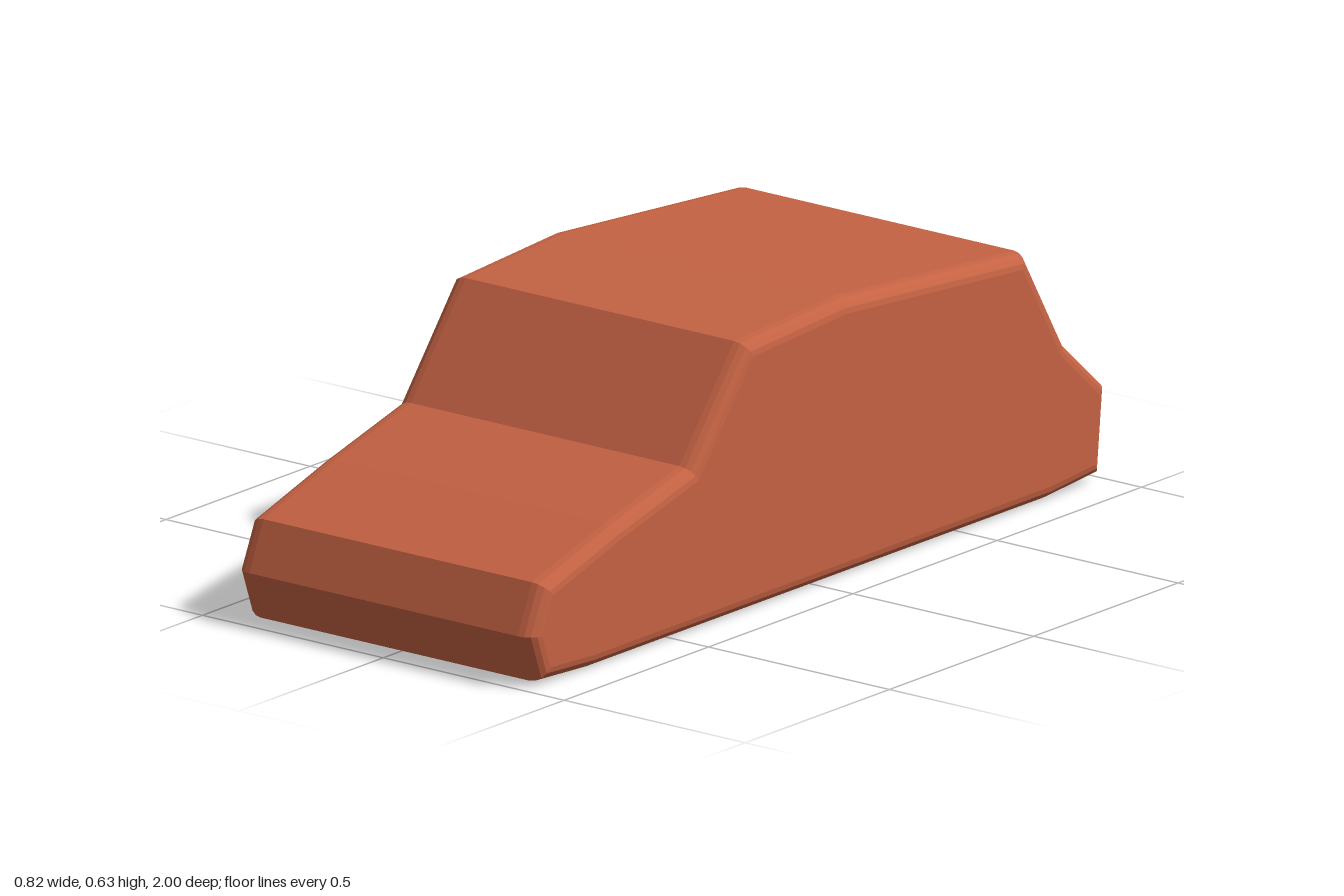
import * as THREE from 'three';

export function createModel() {
  const model = new THREE.Group();
  model.name = 'carBody';

  // Side profile as (z, y), counter-clockwise from the front bottom corner
  const profile = [
    [0.96, 0.01], [1, 0.12], [0.95, 0.23], [0.7, 0.304], [0.44, 0.37],
    [0.25, 0.607], [-0.09, 0.627], [-0.72, 0.578], [-0.86, 0.34],
    [-1, 0.215], [-0.98, 0.015], [-0.8, 0], [0.78, 0],
  ].map(([z, y]) => new THREE.Vector2(z, y));

  // Extruded across the width, with rounded side edges kept inside the profile
  const halfWidth = 0.411, bevel = 0.04, inset = 0.033;
  const geometry = new THREE.ExtrudeGeometry(new THREE.Shape(profile), {
    depth: 2 * (halfWidth - bevel),
    bevelEnabled: true,
    bevelThickness: bevel,
    bevelSize: inset,
    bevelOffset: -inset,
    bevelSegments: 4,
  });
  geometry.translate(0, 0, bevel - halfWidth);
  geometry.rotateY(-Math.PI / 2);

  const paint = new THREE.MeshStandardMaterial({ color: 0xc46243 });
  const body = new THREE.Mesh(geometry, paint);
  body.name = 'bodyShell';
  model.add(body);
  return model;
}
